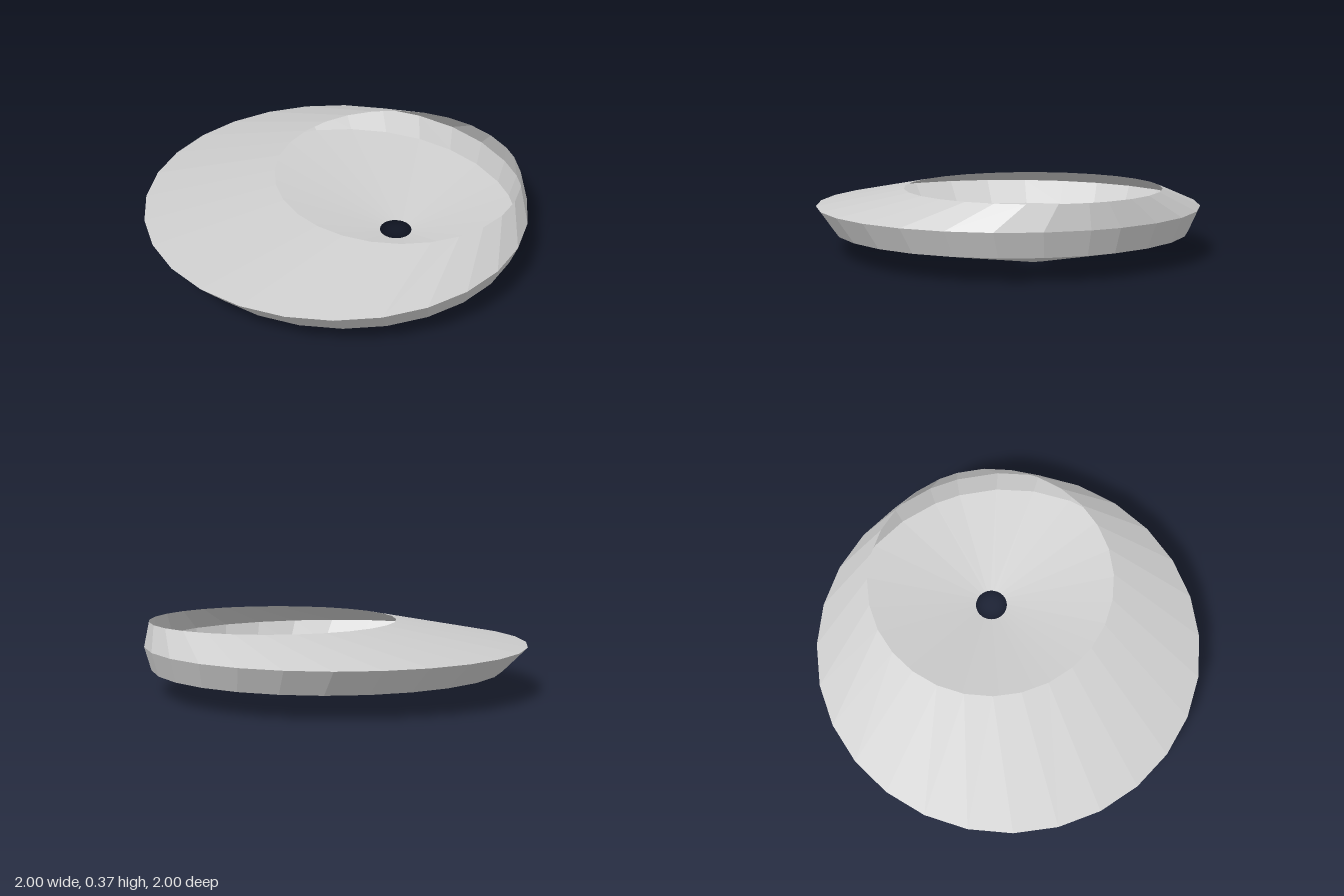
import * as THREE from 'three';

// Facet angles: 13 degree steps from +x towards +z, closed by one narrower facet
const STEP = 13;
const angles = [];
for (let a = 0; a < 360; a += STEP) angles.push(THREE.MathUtils.degToRad(a));

// Round sections of the dish: radius, height and sideways shift
const drainHole = { r: 0.085, y: 0, x: 0.33 };
const bowlEdge = { r: 0.92, y: 0.122, x: 0.045 };
const widestEdge = { r: 1.0, y: 0.245, x: 0 };
const openingRim = { r: 0.645, y: 0.367, x: 0.33 };

// Open faceted band joining two sections, facing outwards
function band(name, lower, upper) {
  const positions = [];
  const index = [];
  const n = angles.length;
  for (const s of [lower, upper]) {
    for (const a of angles) positions.push(s.x + s.r * Math.cos(a), s.y, s.r * Math.sin(a));
  }
  for (let i = 0; i < n; i++) {
    const j = (i + 1) % n;
    index.push(i, n + i, j, j, n + i, n + j);
  }
  const geometry = new THREE.BufferGeometry();
  geometry.setAttribute('position', new THREE.Float32BufferAttribute(positions, 3));
  geometry.setIndex(index);
  geometry.computeVertexNormals();
  const material = new THREE.MeshStandardMaterial({
    color: 0xcccccc,
    flatShading: true,
    side: THREE.DoubleSide,
  });
  const mesh = new THREE.Mesh(geometry, material);
  mesh.name = name;
  return mesh;
}

export function createModel() {
  const dish = new THREE.Group();
  dish.name = 'offsetDish';
  dish.add(
    band('bowlFloor', drainHole, bowlEdge), // shallow cone with a hole
    band('lowerWall', bowlEdge, widestEdge), // flared side
    band('slopingTop', widestEdge, openingRim), // slope up to the off-centre opening
  );
  return dish;
}
